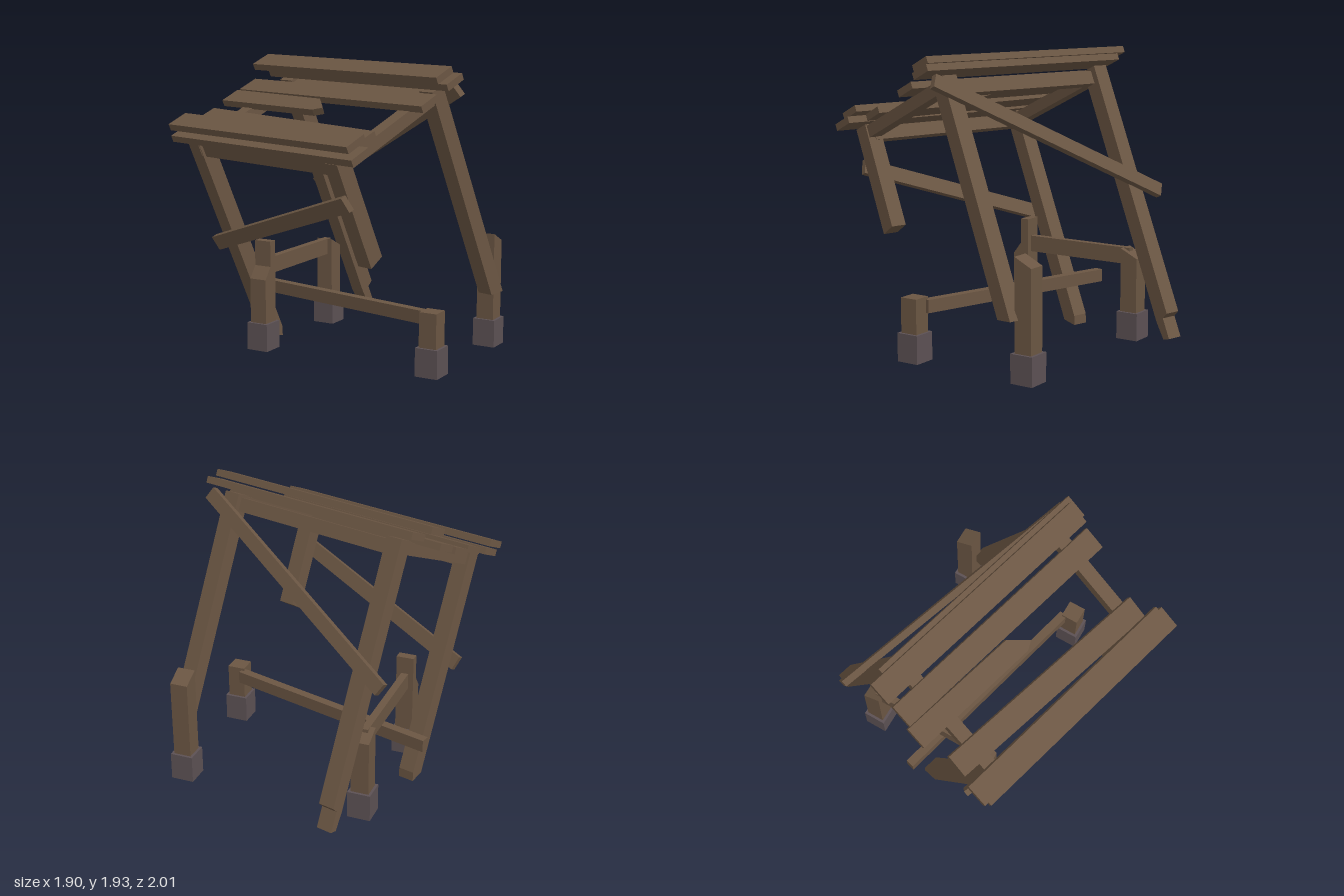
import * as THREE from 'three';

const wood = new THREE.MeshStandardMaterial({ color: 0x6b5643 });
wood.name = 'weathered wood';
const stone = new THREE.MeshStandardMaterial({ color: 0x5c5154 });
stone.name = 'stone footing';

function add(parent, name, geometry, material = wood) {
  const mesh = new THREE.Mesh(geometry, material);
  mesh.name = name;
  parent.add(mesh);
  return mesh;
}

function box(parent, name, size, pos, material) {
  const mesh = add(parent, name, new THREE.BoxGeometry(...size), material);
  mesh.position.set(...pos);
  return mesh;
}

// Straight board from p to q, h high and t thick
function board(parent, name, p, q, h, t) {
  const a = new THREE.Vector3(...p), b = new THREE.Vector3(...q);
  const mesh = box(parent, name, [a.distanceTo(b), h, t], a.clone().add(b).multiplyScalar(0.5).toArray());
  mesh.quaternion.setFromUnitVectors(new THREE.Vector3(1, 0, 0), b.sub(a).normalize());
  return mesh;
}

// Flat outline extruded to a centred thickness
function slab(points, depth) {
  const shape = new THREE.Shape(points.map(([x, y]) => new THREE.Vector2(x, y)));
  return new THREE.ExtrudeGeometry(shape, { depth, bevelEnabled: false }).translate(0, 0, -depth / 2);
}

// Upright timber from a (z, y) side outline
function upright(parent, name, points, width, x, z) {
  const mesh = add(parent, name, slab(points, width).rotateY(-Math.PI / 2));
  mesh.position.set(x, 0, z);
  return mesh;
}

export function createModel() {
  const model = new THREE.Group();
  model.name = 'brokenTable';

  // Collapsed table: leaning forward and turned
  const table = new THREE.Group();
  table.name = 'tiltedTable';
  table.rotation.set(THREE.MathUtils.degToRad(24), THREE.MathUtils.degToRad(-15), 0, 'YXZ');
  table.position.set(0, 1.6, 0.3);
  model.add(table);

  // Four legs, each snapped at its own length
  const s = 0.055, top = 0.02;
  const leg = (name, x, z, ends) =>
    upright(table, name, [...ends, [s, top], [-s, top]], 0.11, x, z);
  leg('frontRightLeg', -0.645, 0.43, [[-s, -1.5], [-0.03, -1.56], [s, -1.5]]);
  leg('frontLeftLeg', 0.64, 0.455, [[-s, -0.68], [s, -0.7]]);
  leg('backLeftLeg', 0.64, -0.45, [[-s, -1.53], [s, -1.49]]);
  leg('backRightLeg', -0.635, -0.45,
    [[-s, -1.69], [-0.01, -1.71], [-0.01, -1.85], [0.04, -1.84], [s, -1.72]]);

  // Frame under the top
  for (const side of [-1, 1]) {
    box(table, 'sideRail', [0.09, 0.08, 0.98], [side * 0.64, -0.03, 0]);
    box(table, 'crossRail', [1.28, 0.09, 0.07], [0, -0.045, side * 0.43]);
  }

  // Top planks: [start x, end x, height, z at start, z at end]
  const planks = [
    [-0.85, 0.79, 0.11, 0.40, 0.40],
    [-0.81, 0.84, 0.05, 0.44, 0.44],
    [-0.81, 0.72, 0.045, 0.20, 0.255],
    [-0.86, 0.80, 0.03, -0.247, -0.247],
    [-0.885, 0.79, 0.12, -0.445, -0.445],
    [-0.78, 0.83, 0.06, -0.475, -0.475],
  ];
  for (const [x0, x1, y, z0, z1] of planks) {
    board(table, 'topPlank', [x0, y, z0], [x1, y, z1], 0.045, 0.155);
  }

  // Snapped plank with a pointed end
  const broken = add(table, 'brokenPlank', slab(
    [[-0.88, -0.165], [-0.06, -0.155], [0.06, -0.05], [0, -0.015], [-0.88, -0.015]], 0.045
  ).rotateX(Math.PI / 2));
  broken.position.y = 0.025;

  // Diagonal braces
  board(table, 'frontBrace', [-0.73, -0.73, 0.53], [0.7, -0.23, 0.53], 0.1, 0.04);
  board(table, 'backBrace', [-0.82, -0.885, -0.525], [0.79, -0.02, -0.525], 0.09, 0.045);

  // Upright base: square footings and broken posts
  const base = new THREE.Group();
  base.name = 'base';
  model.add(base);
  const xr = 0.83, xl = -0.425, zf = 0.245, zb = -0.615;
  for (const x of [xl, xr]) {
    for (const z of [zf, zb]) box(base, 'footing', [0.155, 0.185, 0.155], [x, 0.11, z], stone);
  }
  const h = 0.06;
  const post = (name, x, z, tops) =>
    upright(base, name, [[-h, 0.15], [h, 0.15], ...tops], 0.12, x, z);
  post('frontLeftPost', xr, zf, [[h, 0.43], [-h, 0.43]]);
  post('backLeftPost', xr, zb, [[h, 0.73 + 0.06], [-h, 0.73]]);
  post('backRightPost', xl, zb, [[h, 0.63], [-h, 0.57]]);
  post('frontRightPost', xl, zf, [[h, 0.5], [0, 0.58], [0, 0.75], [-h, 0.75]]);

  // Stretchers: one intact, one swung loose
  box(base, 'sideStretcher', [0.05, 0.11, 0.82], [xl, 0.575, -0.19]);
  board(base, 'looseStretcher', [-0.7, 0.345, -0.19], [0.79, 0.37, 0.19], 0.085, 0.06);

  return model;
}
